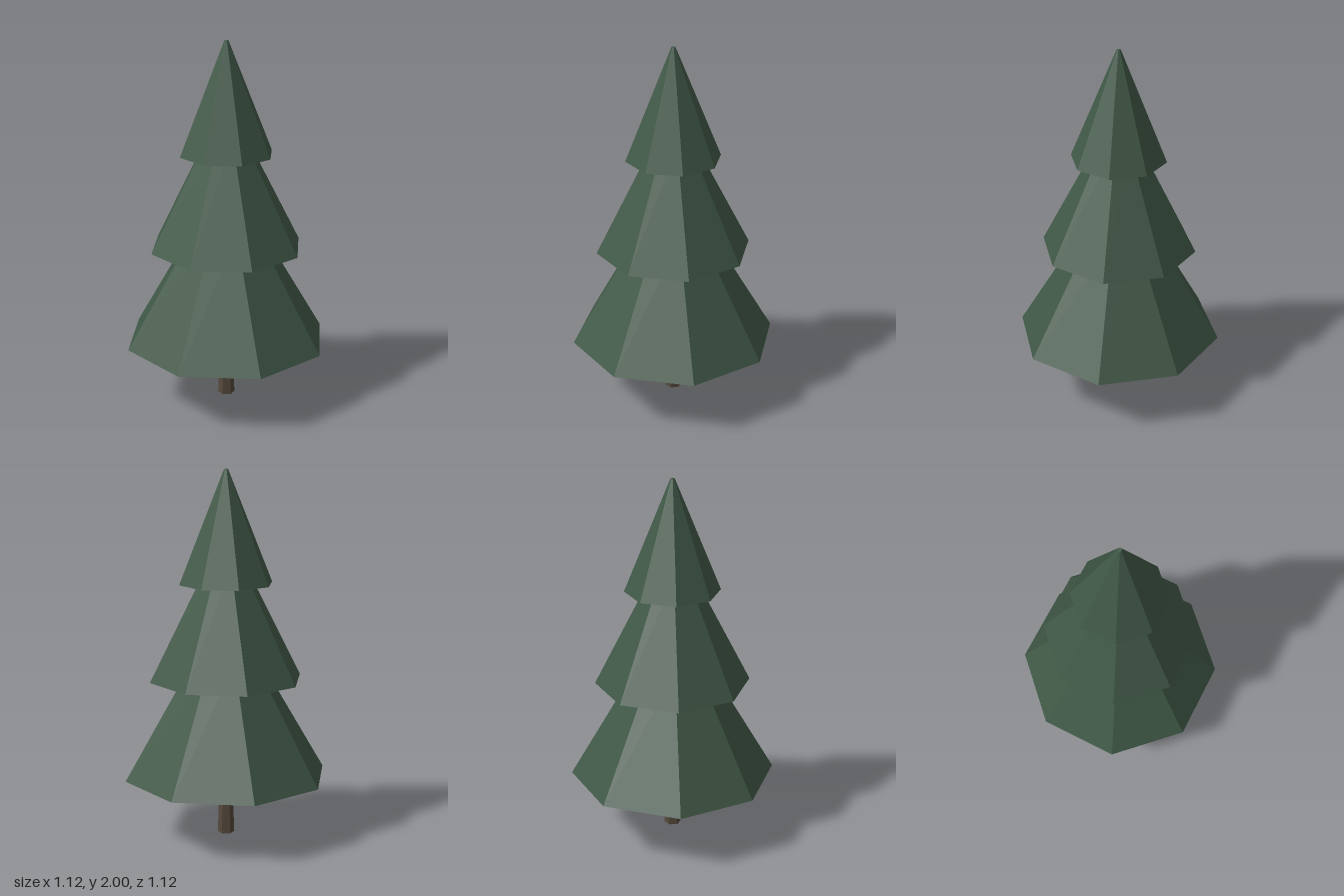
import * as THREE from 'three';

export function createModel() {
  const tree = new THREE.Group();
  tree.name = 'pineTree';

  const needles = new THREE.MeshStandardMaterial({ color: 0x3f5746 });
  needles.name = 'needleGreen';
  needles.flatShading = true;
  const bark = new THREE.MeshStandardMaterial({ color: 0x54483c });
  bark.name = 'barkBrown';
  bark.flatShading = true;

  // Faceted tapered piece standing between two heights
  function addTaper(name, material, sides, bottomY, topY, bottomR, topR) {
    const geometry = new THREE.CylinderGeometry(topR, bottomR, topY - bottomY, sides);
    geometry.translate(0, (bottomY + topY) / 2, 0);
    const mesh = new THREE.Mesh(geometry, material);
    mesh.name = name;
    tree.add(mesh);
  }

  // Six-sided trunk
  addTaper('trunk', bark, 6, 0, 0.42, 0.046, 0.03);

  // Eight-sided foliage tiers, each running up inside the next
  addTaper('lowerFoliage', needles, 8, 0.335, 1.0, 0.562, 0.172);
  addTaper('middleFoliage', needles, 8, 0.875, 1.5, 0.421, 0.101);
  addTaper('upperFoliage', needles, 8, 1.395, 2.0, 0.257, 0.011);

  return tree;
}
